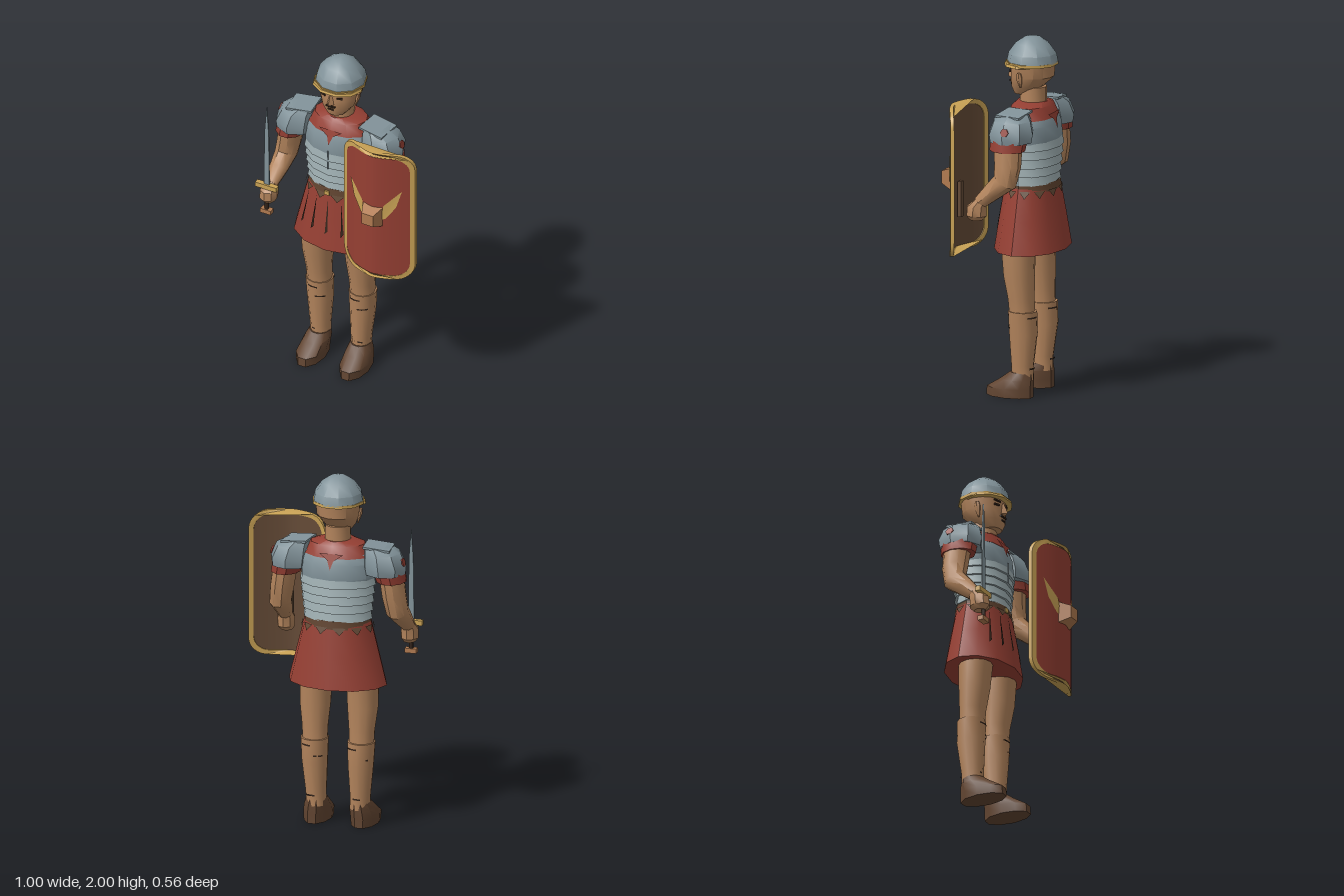
import * as THREE from 'three';
import { toCreasedNormals } from 'three/addons/utils/BufferGeometryUtils.js';

const colours = {
  skin: 0xb3845c, steel: 0x82939a, paleSteel: 0x9dadb0, red: 0x953f33, gold: 0xc9a255,
  boot: 0x624531, bronze: 0xb07a50, dark: 0x33241a, wood: 0x644a36,
};
const mat = {};
for (const [name, color] of Object.entries(colours)) {
  mat[name] = new THREE.MeshStandardMaterial({ color });
  mat[name].name = name;
}
for (const n of ['red', 'gold', 'dark', 'wood', 'steel']) mat[n].side = THREE.DoubleSide;

function add(parent, name, geometry, material, pos = [0, 0, 0], rot = [0, 0, 0]) {
  const m = new THREE.Mesh(geometry, material);
  m.name = name;
  m.position.set(...pos);
  m.rotation.set(...rot);
  parent.add(m);
  return m;
}

// Closed loft through elliptical sections [x, y, z, rx, rz, tilt], bottom to top
function loft(sections, n = 12) {
  const p = [], idx = [];
  for (const [x, y, z, rx, rz, t = 0] of sections) {
    for (let j = 0; j < n; j++) {
      const a = (j / n) * Math.PI * 2, d = rz * Math.sin(a);
      p.push(x + rx * Math.cos(a), y + d * Math.sin(t), z + d * Math.cos(t));
    }
  }
  const last = sections.length - 1, c = p.length / 3;
  p.push(...sections[0].slice(0, 3), ...sections[last].slice(0, 3));
  for (let j = 0; j < n; j++) {
    const k = (j + 1) % n;
    for (let i = 0; i < last; i++) {
      const b = i * n, u = b + n;
      idx.push(b + j, u + j, u + k, b + j, u + k, b + k);
    }
    idx.push(c, j, k, c + 1, last * n + k, last * n + j);
  }
  return toCreasedNormals(fromPoints(p, idx), 0.65);
}

function fromPoints(p, idx) {
  const g = new THREE.BufferGeometry();
  g.setAttribute('position', new THREE.Float32BufferAttribute(p, 3));
  g.setIndex(idx);
  g.computeVertexNormals();
  return g;
}

const box = (w, h, d) => new THREE.BoxGeometry(w, h, d);
const polygon = (pts) => new THREE.Shape(pts.map(([x, y]) => new THREE.Vector2(x, y)));

// Shield outline, upper half sampled by columns
function columns(w, h, r) {
  const out = [];
  for (let i = 0; i <= 24; i++) {
    const x = -w * Math.cos((i / 24) * Math.PI), e = Math.max(0, Math.abs(x) - (w - r));
    out.push([x, h - r + Math.sqrt(Math.max(0, r * r - e * e))]);
  }
  return out;
}
const outline = (w, h, r) => {
  const top = columns(w, h, r);
  return [...top.map(([x, y]) => [x, -y]), ...top.slice().reverse()];
};
// Curve a flat shield piece backwards towards its sides
function bend(g) {
  const p = g.attributes.position;
  for (let i = 0; i < p.count; i++) p.setZ(i, p.getZ(i) - 0.088 * Math.pow(Math.abs(p.getX(i)) / 0.22, 1.5));
  g.computeVertexNormals();
  return g;
}
function panel(w, h, r) {
  const p = [], idx = [];
  columns(w, h, r).forEach(([x, y], i) => {
    p.push(x, -y, 0, x, y, 0);
    if (i) idx.push(2 * i - 2, 2 * i, 2 * i + 1, 2 * i - 2, 2 * i + 1, 2 * i - 1);
  });
  return bend(fromPoints(p, idx));
}

function buildShield() {
  const g = new THREE.Group();
  g.name = 'shield';
  const ring = polygon(outline(0.22, 0.415, 0.1));
  ring.holes.push(polygon(outline(0.196, 0.391, 0.085).reverse()));
  add(g, 'shieldRim', toCreasedNormals(bend(new THREE.ExtrudeGeometry(ring, { depth: 0.022, bevelEnabled: false })), 0.6), mat.gold, [0, 0, -0.012]);
  add(g, 'shieldFace', panel(0.198, 0.393, 0.086), mat.red, [0, 0, 0.008]);
  add(g, 'shieldBack', panel(0.216, 0.411, 0.098), mat.wood, [0, 0, -0.008]);
  for (const s of [-1, 1]) {
    const wing = polygon([[-0.16, 0.18], [-0.065, 0.075], [-0.05, -0.015], [-0.075, -0.01], [-0.13, 0.07]].map(([x, y]) => [x * s, y]));
    add(g, 'shieldWing', bend(new THREE.ShapeGeometry(wing)), mat.gold, [0, 0, 0.014]);
  }
  const boss = new THREE.CylinderGeometry(0.05, 0.086, 0.065, 4, 1);
  boss.rotateY(Math.PI / 4).rotateX(Math.PI / 2);
  add(g, 'shieldBoss', toCreasedNormals(boss, 0.3), mat.bronze, [0, 0, 0.03]);
  add(g, 'shieldGrip', box(0.03, 0.2, 0.02), mat.wood, [0, -0.12, -0.035]);
  g.position.set(0.36, 1.255, 0.215);
  return g;
}

function buildSword() {
  const g = new THREE.Group();
  g.name = 'sword';
  const blade = new THREE.ExtrudeGeometry(polygon([[-0.017, 0], [0.017, 0], [0.012, 0.36], [0, 0.52], [-0.012, 0.36]]), { depth: 0.008, bevelEnabled: false });
  add(g, 'blade', blade, mat.steel, [0, 1.14, -0.004]);
  add(g, 'guard', box(0.13, 0.028, 0.03), mat.gold, [0, 1.13, 0]);
  add(g, 'grip', new THREE.CylinderGeometry(0.012, 0.012, 0.16, 6), mat.dark, [0, 1.05, 0]);
  add(g, 'pommel', box(0.065, 0.026, 0.035), mat.bronze, [0, 0.967, 0]);
  g.position.set(-0.355, 0, 0.11);
  return g;
}

function buildHead() {
  const g = new THREE.Group();
  g.name = 'head';
  add(g, 'neck', loft([[0, 1.6, -0.09, 0.075, 0.075], [0, 1.72, -0.09, 0.07, 0.075]]), mat.skin);
  add(g, 'face', loft([[0, 1.675, -0.035, 0.055, 0.055], [0, 1.72, -0.055, 0.092, 0.09], [0, 1.78, -0.085, 0.118, 0.122], [0, 1.87, -0.09, 0.125, 0.125]], 14), mat.skin);
  add(g, 'nose', loft([[0, 1.758, 0.035, 0.022, 0.026], [0, 1.77, 0.035, 0.018, 0.026], [0, 1.825, 0.026, 0.01, 0.012]], 4), mat.skin);
  add(g, 'moustache', box(0.055, 0.009, 0.009), mat.dark, [0, 1.742, 0.036]);
  add(g, 'mouth', box(0.034, 0.01, 0.009), mat.dark, [0, 1.722, 0.032]);
  for (const s of [-1, 1]) {
    add(g, 'eye', box(0.034, 0.011, 0.008), mat.dark, [0.05 * s, 1.802, 0.025], [0, 0.4 * s, 0]);
    add(g, 'brow', box(0.045, 0.008, 0.008), mat.dark, [0.05 * s, 1.825, 0.027], [0, 0.4 * s, 0.1 * s]);
    add(g, 'ear', loft([[0.104 * s, 1.725, -0.06, 0.004, 0.005], [0.118 * s, 1.78, -0.06, 0.012, 0.02], [0.122 * s, 1.81, -0.06, 0.008, 0.012]], 6), mat.skin);
  }
  // Helmet bowl, band and front peak
  add(g, 'helmet', loft([[0, 1.855, -0.085, 0.142, 0.142], [0, 1.905, -0.085, 0.132, 0.132], [0, 1.96, -0.085, 0.092, 0.092], [0, 1.992, -0.085, 0.045, 0.045], [0, 2, -0.085, 0.008, 0.008]], 10), mat.steel);
  add(g, 'helmetBand', loft([[0, 1.845, -0.085, 0.146, 0.143], [0, 1.861, -0.083, 0.146, 0.143]], 10), mat.gold);
  add(g, 'helmetPeak', loft([[0, 1.838, -0.05, 0.148, 0.12], [0, 1.852, -0.05, 0.142, 0.115]], 10), mat.gold);
  return g;
}

function buildTorso() {
  const g = new THREE.Group(), z = -0.088;
  g.name = 'torso';
  add(g, 'breastplate', loft([[0, 1.38, z, 0.2, 0.14], [0, 1.44, z, 0.212, 0.15], [0, 1.52, z, 0.21, 0.14], [0, 1.57, z, 0.185, 0.122], [0, 1.6, z, 0.16, 0.108]]), mat.steel);
  add(g, 'tunicCollar', loft([[0, 1.555, z, 0.193, 0.13], [0, 1.62, z, 0.155, 0.106], [0, 1.64, z, 0.09, 0.085]]), mat.red);
  // Points of the neckline, front and back
  const point = new THREE.ShapeGeometry(polygon([[-0.07, 0.07], [-0.015, 0.03], [0, -0.02], [0.02, 0.035], [0.07, 0.07]]));
  add(g, 'necklineFront', point, mat.red, [0, 1.515, 0.056], [-0.28, 0, 0]);
  add(g, 'necklineBack', point, mat.red, [0, 1.515, -0.232], [0.28, 0, 0]);
  // Overlapping hoops
  for (let i = 0; i < 5; i++) {
    const y = 1.195 + i * 0.049, rx = 0.197 + i * 0.005, rz = 0.142 + i * 0.004;
    add(g, 'armourHoop', loft([[0, y, z, rx, rz], [0, y + 0.062, z, rx - 0.012, rz - 0.012]]), mat.paleSteel);
  }
  add(g, 'chestSeam', box(0.006, 0.12, 0.006), mat.steel, [0, 1.4, 0.067]);
  add(g, 'belt', loft([[0, 1.155, z, 0.192, 0.146], [0, 1.2, z, 0.188, 0.142]]), mat.boot);
  add(g, 'buckle', box(0.03, 0.025, 0.009), mat.gold, [-0.01, 1.172, 0.06]);
  // Skirt with dark pleat slits
  add(g, 'skirt', loft([[0, 0.82, z, 0.28, 0.195], [0, 1, z, 0.235, 0.17], [0, 1.19, z, 0.187, 0.14]]), mat.red);
  const onSkirt = (a, y) => {
    const k = (1.19 - y) / 0.37;
    return [Math.cos(a) * (0.192 + 0.093 * k), y, z + Math.sin(a) * (0.145 + 0.055 * k)];
  };
  for (const a of [0.85, 1.2, 1.57, 1.94, 2.3]) {
    add(g, 'pleatSlit', fromPoints([...onSkirt(a, 1.14), ...onSkirt(a + 0.015, 0.92), ...onSkirt(a - 0.05, 0.94)], [0, 1, 2]), mat.dark);
  }
  // Leather tabs hanging from the belt
  for (let i = 0; i < 12; i++) {
    const a = (i + 0.5) * Math.PI / 6;
    add(g, 'beltTab', fromPoints([...onSkirt(a - 0.2, 1.165), ...onSkirt(a + 0.2, 1.165), ...onSkirt(a, 1.125)], [0, 1, 2]), mat.wood).material = mat.wood;
  }
  return g;
}

function buildArm(s) {
  const g = new THREE.Group();
  g.name = s > 0 ? 'leftArm' : 'rightArm';
  add(g, 'arm', loft([
    [0.352 * s, 1.125, 0.065, 0.04, 0.038, 0.8], [0.342 * s, 1.19, -0.005, 0.054, 0.052, 0.8],
    [0.335 * s, 1.25, -0.075, 0.063, 0.068, 0.5], [0.32 * s, 1.34, -0.085, 0.068, 0.075, 0.1], [0.3 * s, 1.48, -0.08, 0.07, 0.08]], 10), mat.skin);
  add(g, 'hand', loft([[0.352 * s, 1.025, 0.09, 0.032, 0.035], [0.354 * s, 1.05, 0.088, 0.05, 0.06], [0.354 * s, 1.1, 0.085, 0.05, 0.058], [0.352 * s, 1.145, 0.055, 0.036, 0.036]], 8), mat.skin);
  add(g, 'sleeve', loft([[0.303 * s, 1.42, -0.075, 0.083, 0.1], [0.285 * s, 1.5, -0.08, 0.09, 0.105]], 10), mat.red);
  add(g, 'shoulderGuard', loft([[0.268 * s, 1.465, -0.08, 0.115, 0.122], [0.266 * s, 1.51, -0.08, 0.122, 0.13], [0.25 * s, 1.58, -0.08, 0.105, 0.108], [0.225 * s, 1.612, -0.08, 0.075, 0.08]], 8), mat.steel);
  add(g, 'shoulderPlate', box(0.15, 0.012, 0.15), mat.steel, [0.23 * s, 1.61, -0.08], [0, -0.1 * s, -0.1 * s]);
  add(g, 'guardPatch', new THREE.CylinderGeometry(0.024, 0.024, 0.008, 6), mat.red, [0.375 * s, 1.535, -0.09], [0, 0, -1.3 * s]);
  return g;
}

function buildLeg(s) {
  const g = new THREE.Group();
  g.name = s > 0 ? 'leftLeg' : 'rightLeg';
  add(g, 'thigh', loft([[0.133 * s, 0.46, -0.085, 0.07, 0.07], [0.134 * s, 0.55, -0.08, 0.073, 0.073], [0.136 * s, 0.68, -0.068, 0.087, 0.086], [0.13 * s, 0.9, -0.06, 0.092, 0.1]]), mat.skin);
  add(g, 'shin', loft([[0.125 * s, 0.1, -0.086, 0.055, 0.062], [0.127 * s, 0.18, -0.085, 0.058, 0.063], [0.132 * s, 0.36, -0.092, 0.072, 0.08], [0.134 * s, 0.485, -0.088, 0.078, 0.08]]), mat.skin);
  add(g, 'boot', loft([[0.135 * s, 0, -0.012, 0.074, 0.138], [0.135 * s, 0.05, -0.014, 0.078, 0.136], [0.13 * s, 0.1, -0.055, 0.072, 0.095], [0.126 * s, 0.14, -0.08, 0.058, 0.066]], 10), mat.boot);
  // Short dark straps around the shin
  for (const [y, r, start] of [[0.455, 0.079, -0.5], [0.395, 0.077, 0.1], [0.455, 0.079, 2.3], [0.395, 0.077, 3.2], [0.165, 0.062, -0.3], [0.165, 0.062, 2.6]]) {
    const strap = new THREE.CylinderGeometry(r, r, 0.009, 5, 1, true, start, 0.8);
    add(g, 'strap', strap, mat.dark, [0.131 * s, y, -0.088]).scale.z = 1.04;
  }
  return g;
}

export function createModel() {
  const model = new THREE.Group();
  model.name = 'soldier';
  const figure = new THREE.Group();
  figure.name = 'figure';
  figure.add(buildHead(), buildTorso(), buildShield(), buildSword());
  for (const s of [-1, 1]) figure.add(buildArm(s), buildLeg(s));
  figure.position.x = -0.09;
  model.add(figure);
  return model;
}
